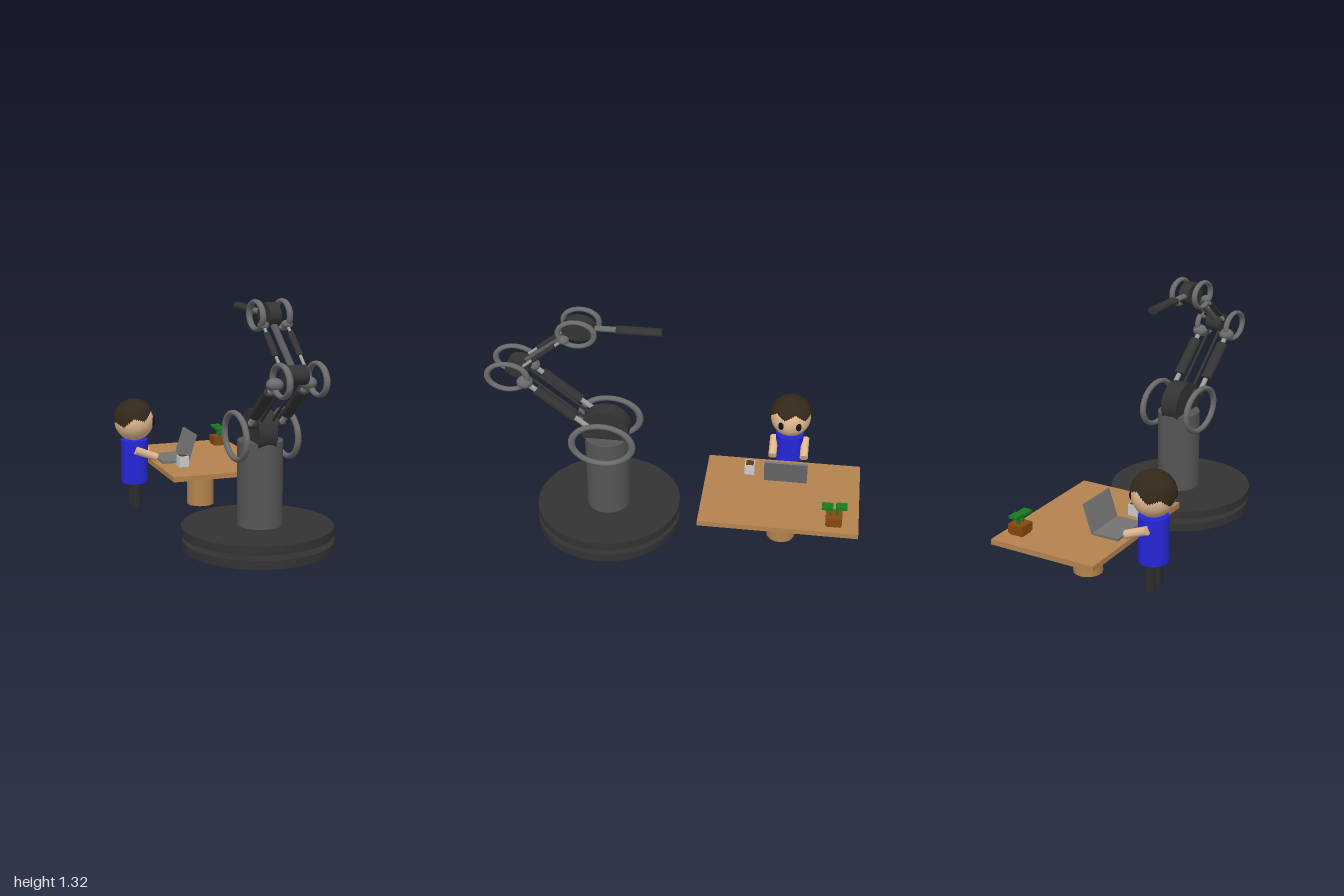
import * as THREE from 'three';

const mat = (color, side = THREE.FrontSide) => new THREE.MeshStandardMaterial({ color, side });
const DARK = mat(0x333333), COLUMN = mat(0x565656), RING = mat(0x6a6a6a), ROD = mat(0x9a9a9a);
const WOOD = mat(0xb4834f), SKIN = mat(0xe0b88e), BLUE = mat(0x2626d8), HAIR = mat(0x33281a, THREE.DoubleSide);
const GREY = mat(0x737373), CUP = mat(0xbdbdbd), COFFEE = mat(0x5a3a14), POT = mat(0x86480f), GREEN = mat(0x167a1e);
const BLACK = mat(0x111111), TROUSERS = mat(0x2c2c2c);

function add(parent, name, geometry, material, x, y, z) {
  const mesh = new THREE.Mesh(geometry, material);
  mesh.name = name;
  mesh.position.set(x, y, z);
  parent.add(mesh);
  return mesh;
}

const box = (parent, name, material, size, pos) =>
  add(parent, name, new THREE.BoxGeometry(...size), material, ...pos);

// Round bar between two points; widen stretches it sideways
function bar(parent, name, material, from, to, r, widen = 1) {
  const a = new THREE.Vector3(...from), b = new THREE.Vector3(...to);
  const d = b.clone().sub(a);
  const mesh = add(parent, name, new THREE.CylinderGeometry(r, r, d.length(), 24), material,
    ...a.add(b).multiplyScalar(0.5).toArray());
  mesh.quaternion.setFromUnitVectors(new THREE.Vector3(0, 1, 0), d.normalize());
  mesh.scale.x = widen;
  return mesh;
}

// Oval disc lying across the arm
function hub(parent, name, width, x, y, z, ry, rz) {
  const geo = new THREE.CylinderGeometry(1, 1, width, 32).rotateZ(Math.PI / 2).scale(1, ry, rz);
  return add(parent, name, geo, DARK, x, y, z);
}

// Pair of oval rings either side of a joint
function rings(parent, name, xs, y, z, ry, rz, tube) {
  for (const x of xs) {
    const geo = new THREE.TorusGeometry(rz - tube, tube, 14, 40).rotateY(Math.PI / 2).scale(0.016 / tube, ry / rz, 1);
    add(parent, name, geo, RING, x, y, z);
  }
}

// Piston: rod, thicker sleeve and ball end
function piston(parent, x, ball, foot, s0, s1, rodR, sleeveR, ballR) {
  const at = t => [x, ball[0] + (foot[0] - ball[0]) * t, ball[1] + (foot[1] - ball[1]) * t];
  bar(parent, 'pistonRod', ROD, at(0), at(1), rodR);
  bar(parent, 'pistonSleeve', DARK, at(s0), at(s1), sleeveR, 1.3);
  add(parent, 'pistonBall', new THREE.SphereGeometry(ballR, 24, 16).scale(1, 0.76, 1), RING, x, ...ball);
}

function makeRobot() {
  const g = new THREE.Group();
  g.name = 'robotArm';
  // Base discs and column
  add(g, 'lowerDisc', new THREE.CylinderGeometry(0.397, 0.397, 0.045, 32), DARK, 0.05, 0.037, 0.383);
  add(g, 'upperDisc', new THREE.CylinderGeometry(0.397, 0.397, 0.045, 32), DARK, 0.045, 0.111, 0.383);
  add(g, 'column', new THREE.CylinderGeometry(0.118, 0.118, 0.446, 32), COLUMN, 0.058, 0.357, 0.382);
  // Shoulder
  hub(g, 'shoulderHub', 0.098, 0.054, 0.63, 0.385, 0.117, 0.13);
  rings(g, 'shoulderRing', [-0.077, 0.199], 0.608, 0.383, 0.133, 0.182, 0.019);
  bar(g, 'shoulderCrossbar', DARK, [-0.054, 0.676, 0.455], [0.162, 0.676, 0.455], 0.02);
  // Lower arm
  for (const x of [0.023, 0.087]) bar(g, 'lowerArmBar', DARK, [x, 0.62, 0.388], [x, 0.984, 0.84], 0.008);
  for (const x of [-0.03, 0.142]) piston(g, x, [0.936, 0.79], [0.676, 0.455], 0.17, 0.76, 0.014, 0.025, 0.043);
  // Elbow
  hub(g, 'elbowHub', 0.098, 0.054, 0.985, 0.838, 0.048, 0.064);
  rings(g, 'elbowRing', [-0.034, 0.152], 0.967, 0.88, 0.087, 0.123, 0.016);
  bar(g, 'elbowCrossbar', DARK, [-0.016, 1.015, 0.803], [0.127, 1.015, 0.803], 0.011);
  // Forearm
  bar(g, 'forearmBar', COLUMN, [0.054, 0.985, 0.838], [0.054, 1.235, 0.505], 0.015, 1.2);
  for (const x of [-0.005, 0.12]) piston(g, x, [1.194, 0.575], [1.015, 0.803], 0.2, 0.74, 0.008, 0.013, 0.029);
  // Wrist and pointer
  hub(g, 'wristHub', 0.06, 0.055, 1.235, 0.507, 0.062, 0.088);
  rings(g, 'wristRing', [-0.017, 0.124], 1.235, 0.508, 0.08, 0.109, 0.015);
  bar(g, 'pointerNeck', RING, [0.053, 1.237, 0.45], [0.053, 1.237, 0.3], 0.014, 1.4);
  bar(g, 'pointerTip', DARK, [0.053, 1.237, 0.31], [0.053, 1.237, 0.075], 0.02, 1.5);
  return g;
}

// Hair cap whose zigzag edge is high over the face and low at the back
function hairGeometry() {
  const geo = new THREE.SphereGeometry(0.119, 60, 20);
  const pos = geo.attributes.position, uv = geo.attributes.uv;
  for (let i = 0; i < pos.count; i++) {
    const u = Math.round(uv.getX(i) * 120) / 120, v = 1 - uv.getY(i);
    const phi = u * Math.PI * 2;
    const zigzag = Math.abs(((u * 6 + 0.25) % 1) * 2 - 1) - 0.5;
    const t = v * (1.5 + 0.3 * Math.cos(phi) + 0.3 * zigzag);
    pos.setXYZ(i, -0.119 * Math.cos(phi) * Math.sin(t), 0.119 * Math.cos(t), 0.119 * Math.sin(phi) * Math.sin(t));
  }
  geo.computeVertexNormals();
  return geo;
}

function makePerson() {
  const g = new THREE.Group();
  g.name = 'person';
  g.position.set(-0.338, 0, -0.592);
  add(g, 'torso', new THREE.CylinderGeometry(0.078, 0.078, 0.25, 32), BLUE, 0, 0.288, 0);
  add(g, 'head', new THREE.SphereGeometry(0.112, 32, 24), SKIN, 0, 0.521, 0);
  add(g, 'hair', hairGeometry(), HAIR, 0, 0.531, 0);
  for (const s of [-1, 1]) {
    const eye = add(g, 'eye', new THREE.SphereGeometry(0.024, 16, 12).scale(0.4, 1, 0.7), BLACK, 0.1, 0.517, s * 0.049);
    eye.rotation.y = -s * 0.45;
    bar(g, 'arm', SKIN, [-0.015, 0.366, s * 0.088], [0.107, 0.317, s * 0.088], 0.023);
    bar(g, 'leg', TROUSERS, [0, 0.02, s * 0.034], [0, 0.165, s * 0.034], 0.027);
  }
  return g;
}

function makeDesk() {
  const g = new THREE.Group();
  g.name = 'desk';
  box(g, 'tableTop', WOOD, [0.6, 0.029, 0.85], [0.061, 0.267, -0.573]);
  add(g, 'tableLeg', new THREE.CylinderGeometry(0.078, 0.078, 0.255, 32), WOOD, 0.06, 0.1275, -0.583);
  // Laptop
  box(g, 'laptopBase', GREY, [0.15, 0.013, 0.235], [-0.126, 0.288, -0.59]);
  const screen = box(g, 'laptopScreen', GREY, [0.012, 0.163, 0.235], [-0.026, 0.361, -0.59]);
  screen.rotation.z = -0.31;
  // Cup with drink
  box(g, 'cup', CUP, [0.056, 0.062, 0.054], [-0.111, 0.312, -0.388]);
  box(g, 'drink', COFFEE, [0.044, 0.002, 0.042], [-0.111, 0.3435, -0.388]);
  // Potted plant
  box(g, 'potFoot', POT, [0.078, 0.012, 0.076], [0.276, 0.287, -0.866]);
  box(g, 'pot', POT, [0.088, 0.046, 0.086], [0.276, 0.315, -0.866]);
  for (const [stemZ, leafZ, y] of [[-0.844, -0.828, 0.383], [-0.881, -0.902, 0.389]]) {
    box(g, 'stem', GREEN, [0.016, y - 0.335, 0.012], [0.276, (y + 0.335) / 2, stemZ]);
    box(g, 'leaf', GREEN, [0.05, 0.014, 0.059], [0.272, y, leafZ]);
  }
  return g;
}

export function createModel() {
  const model = new THREE.Group();
  model.name = 'robotArmAndDesk';
  model.add(makeRobot(), makePerson(), makeDesk());
  return model;
}
